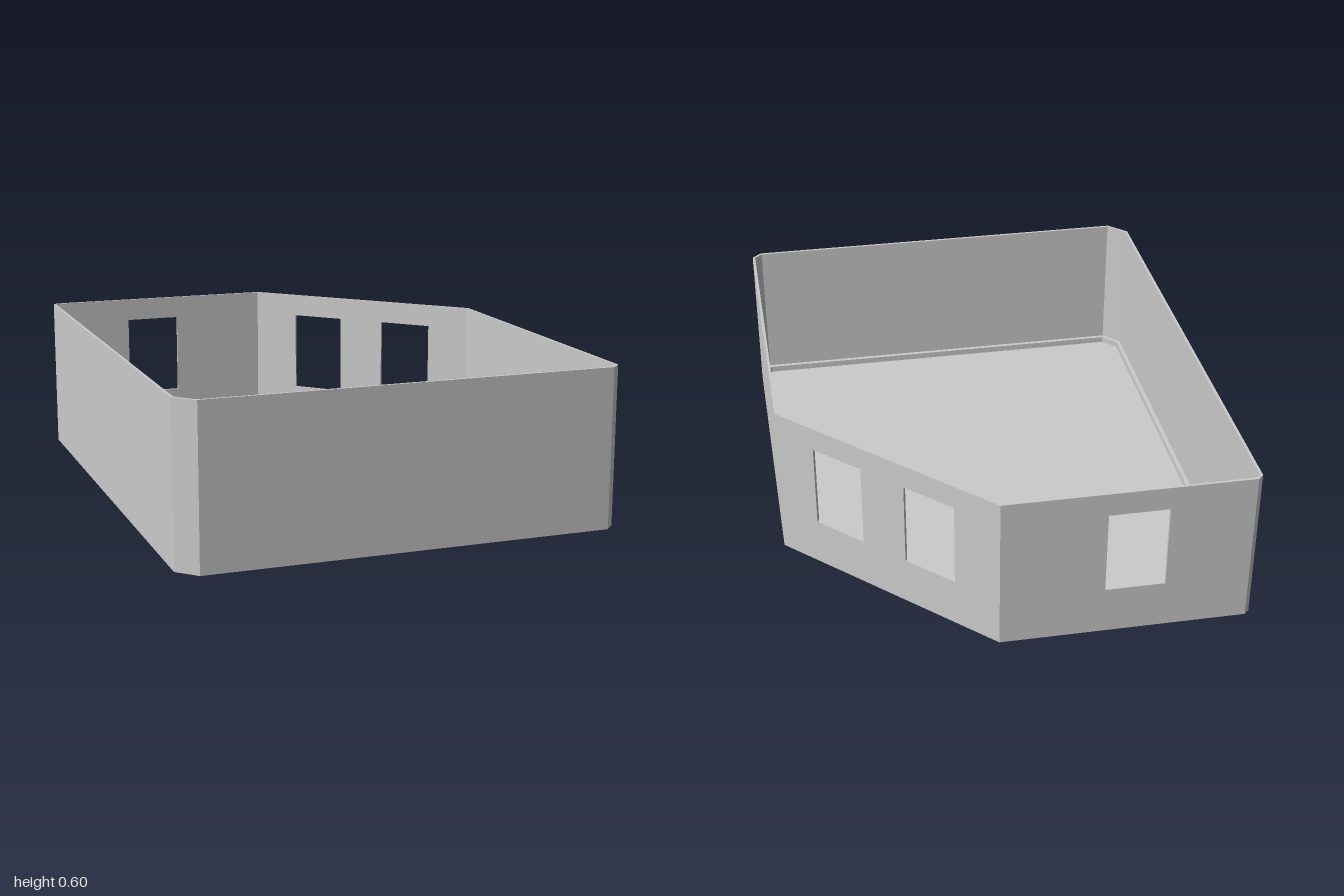
import * as THREE from 'three';

const HEIGHT = 0.6, WALL = 0.01, SKIRT = 0.026, FLOOR_Y = 0.02, SKIRT_Y = 0.045;
const SILL = 0.185, LINTEL = 0.51;

// Outer plan corners as (x, z), running back-left, along the front, and round to the back
const PLAN = [
  [-0.82, -0.98], [-0.82, 0.93], [-0.75, 1], [0.785, 1],
  [0.82, 0.965], [0.82, -0.29], [0.11, -1], [-0.8, -1],
].map(([x, z]) => new THREE.Vector2(x, z));

// Window spans along a wall, keyed by the wall's first corner
const WINDOWS = { 5: [[0.177, 0.397], [0.59, 0.81]], 6: [[0.38, 0.6]] };

const material = new THREE.MeshStandardMaterial({ color: 0xcccccc, flatShading: true });

// Plan moved inwards by d, with mitred corners
function inset(d) {
  const n = PLAN.length;
  return PLAN.map((p, i) => {
    const u = p.clone().sub(PLAN[(i + n - 1) % n]).normalize();
    const v = PLAN[(i + 1) % n].clone().sub(p).normalize();
    const a = new THREE.Vector2(u.y, -u.x), b = new THREE.Vector2(v.y, -v.x);
    const k = d / (1 + a.dot(b));
    return p.clone().add(a.add(b).multiplyScalar(k));
  });
}

// Flat slab or ring lying between two heights
function slab(name, outer, y0, y1, inner) {
  const flat = (pts) => pts.map((p) => new THREE.Vector2(p.x, -p.y));
  const shape = new THREE.Shape(flat(outer));
  if (inner) shape.holes.push(new THREE.Path(flat(inner)));
  const geo = new THREE.ExtrudeGeometry(shape, { depth: y1 - y0, bevelEnabled: false });
  geo.rotateX(-Math.PI / 2).translate(0, y0, 0);
  const mesh = new THREE.Mesh(geo, material);
  mesh.name = name;
  return mesh;
}

function rectangle(Type, x0, y0, x1, y1) {
  return new Type([[x0, y0], [x1, y0], [x1, y1], [x0, y1]].map((c) => new THREE.Vector2(...c)));
}

// Upright panel from a to b with window openings; inner ends are mitred
function wall(a, b, innerA, innerB, windows) {
  const dir = b.clone().sub(a), length = dir.length();
  dir.normalize();
  const shape = rectangle(THREE.Shape, 0, 0, length, HEIGHT);
  for (const [s, e] of windows) shape.holes.push(rectangle(THREE.Path, s, SILL, e, LINTEL));
  const geo = new THREE.ExtrudeGeometry(shape, { depth: WALL, bevelEnabled: false });
  geo.translate(0, 0, -WALL);
  const pos = geo.attributes.position;
  const start = innerA.clone().sub(a).dot(dir), end = innerB.clone().sub(a).dot(dir);
  for (let i = 0; i < pos.count; i++) {
    if (pos.getZ(i) > -WALL / 2) continue;
    if (pos.getX(i) < 1e-5) pos.setX(i, start);
    else if (pos.getX(i) > length - 1e-5) pos.setX(i, end);
  }
  geo.computeVertexNormals();
  const mesh = new THREE.Mesh(geo, material);
  mesh.position.set(a.x, 0, a.y);
  mesh.rotation.y = Math.atan2(-dir.y, dir.x);
  return mesh;
}

export function createModel() {
  const room = new THREE.Group();
  room.name = 'room';
  const inner = inset(WALL);
  const names = ['leftSide', 'frontLeftCorner', 'front', 'frontRightCorner',
    'rightSide', 'diagonal', 'back', 'backLeftCorner'];

  // Outer walls
  PLAN.forEach((p, i) => {
    const j = (i + 1) % PLAN.length;
    const panel = wall(p, PLAN[j], inner[i], inner[j], WINDOWS[i] || []);
    panel.name = names[i] + 'Wall';
    room.add(panel);
  });

  // Floor and the skirting running round its edge
  room.add(slab('floor', inner, 0, FLOOR_Y));
  room.add(slab('skirting', inner, FLOOR_Y, SKIRT_Y, inset(SKIRT)));
  return room;
}
